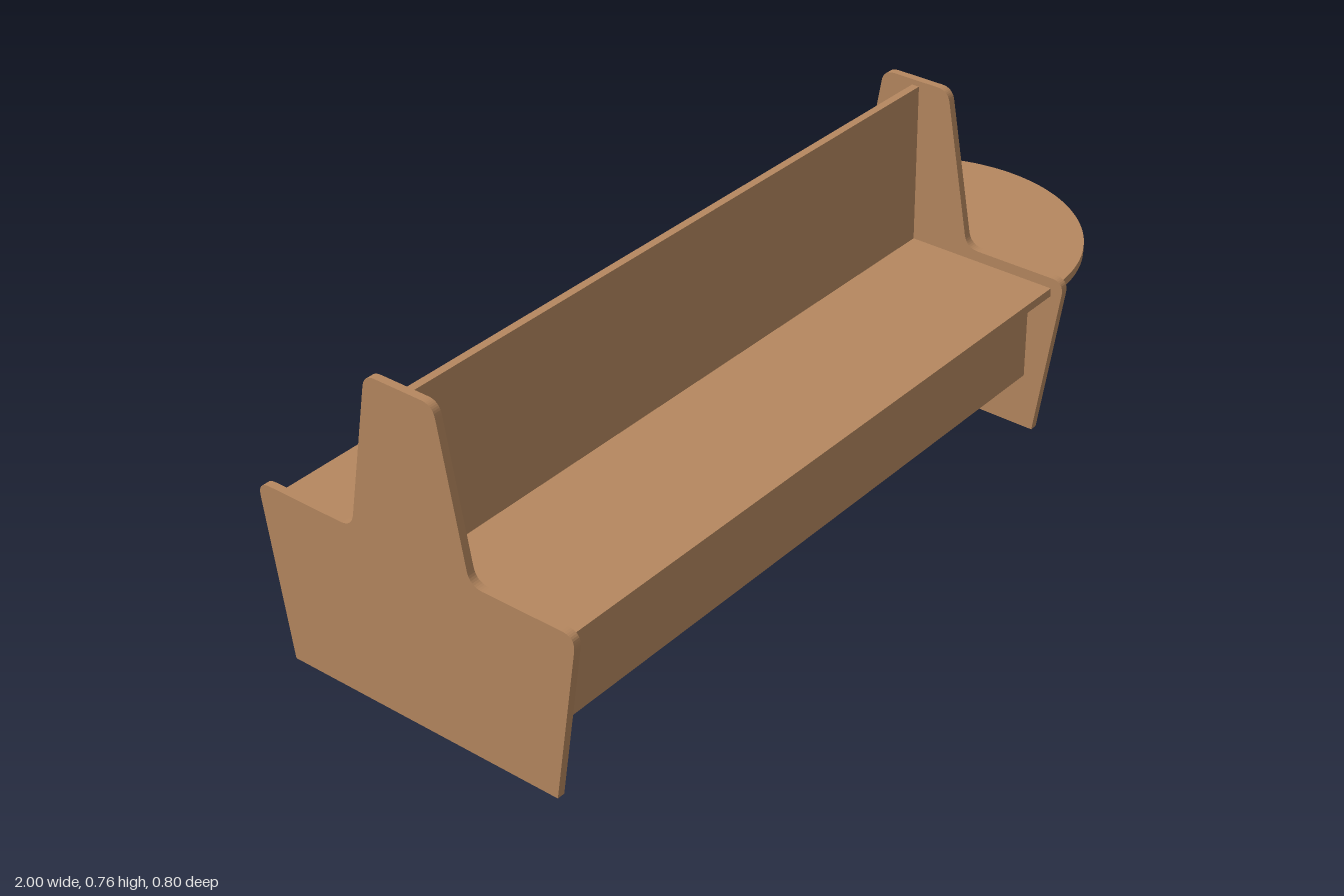
import * as THREE from 'three';

const T = 0.018; // board thickness

// Closed outline with each corner [x, y, roundingLength] softened by a curve
function roundedShape(corners) {
  const pts = corners.map(([x, y]) => new THREE.Vector2(x, y));
  const shape = new THREE.Shape();
  pts.forEach((p, i) => {
    const r = corners[i][2];
    const toward = (q) => p.clone().add(q.clone().sub(p).setLength(r));
    const a = toward(pts[(i + pts.length - 1) % pts.length]);
    const b = toward(pts[(i + 1) % pts.length]);
    if (i === 0) shape.moveTo(a.x, a.y);
    else shape.lineTo(a.x, a.y);
    if (r > 0) shape.quadraticCurveTo(p.x, p.y, b.x, b.y);
  });
  shape.closePath();
  return shape;
}

const extrude = (shape, depth, curveSegments = 10) =>
  new THREE.ExtrudeGeometry(shape, { depth, curveSegments, bevelEnabled: false });

export function createModel() {
  const group = new THREE.Group();
  const wood = new THREE.MeshStandardMaterial({ color: 0xb5875f });
  wood.name = 'wood';

  const add = (name, geometry, x = 0, y = 0, z = 0) => {
    const mesh = new THREE.Mesh(geometry, wood);
    mesh.name = name;
    mesh.position.set(x, y, z);
    group.add(mesh);
    return mesh;
  };

  // End panels: wide tapered base, shoulders and narrow upright
  const half = [
    [0.345, 0.003, 0],
    [0.405, 0.402, 0.034],
    [0.15, 0.402, 0.032],
    [0.085, 0.765, 0.028],
  ];
  const mirrored = half.map(([x, y, r]) => [-x, y, r]).reverse();
  const panel = extrude(roundedShape([...half, ...mirrored]), T);
  panel.rotateY(-Math.PI / 2);
  add('rightEndPanel', panel, -1 + T);
  add('leftEndPanel', panel, 0.621);

  // Boards spanning between the end panels
  const x0 = -1 + T, x1 = 0.621 - T;
  const span = x1 - x0, mid = (x0 + x1) / 2;
  add('seat', new THREE.BoxGeometry(span, 0.02, 0.744), mid, 0.367, 0);
  add('backrest', new THREE.BoxGeometry(span, 0.375, T), mid, 0.5645, 0);
  for (const s of [1, -1]) {
    add(s > 0 ? 'frontApron' : 'backApron',
      new THREE.BoxGeometry(span, 0.222, T), mid, 0.246, s * 0.308);
  }

  // Half-round side table
  const top = new THREE.Shape();
  top.moveTo(0, -0.374);
  top.lineTo(0.005, -0.374);
  top.absarc(0.005, 0, 0.374, -Math.PI / 2, Math.PI / 2, false);
  top.lineTo(0, 0.374);
  top.closePath();
  const topGeometry = extrude(top, 0.02, 48);
  topGeometry.rotateX(-Math.PI / 2);
  add('tableTop', topGeometry, 0.621, 0.357, 0);

  // Tapered table support
  const leg = roundedShape([
    [0.621, 0.003, 0], [0.893, 0.003, 0], [0.959, 0.357, 0], [0.621, 0.357, 0],
  ]);
  add('tableLeg', extrude(leg, T), 0, 0, -T / 2);

  return group;
}
